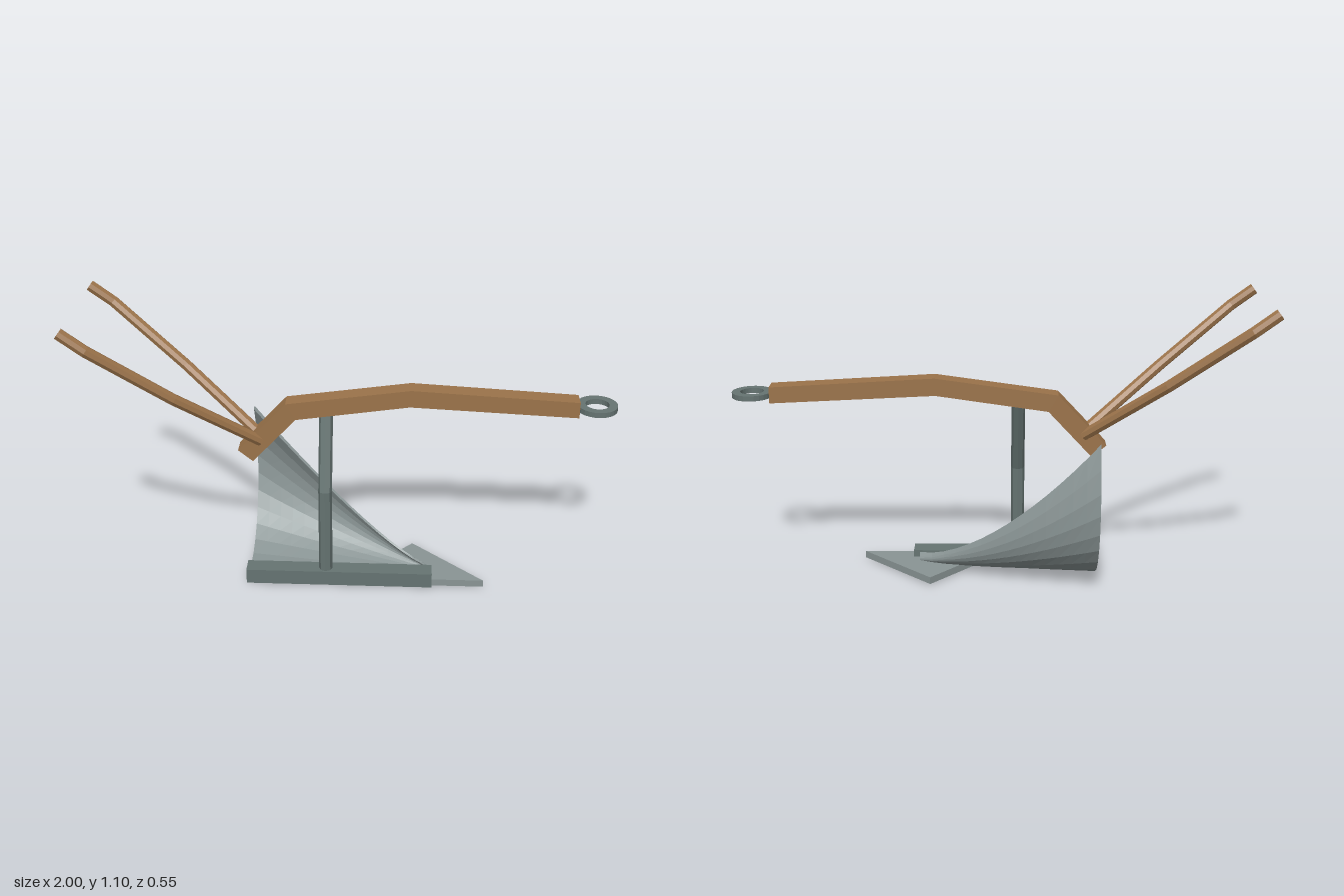
import * as THREE from 'three';

const material = (color) => new THREE.MeshStandardMaterial({ color, flatShading: true, side: THREE.DoubleSide });
const wood = material(0x9b734a);
const iron = material(0x667472);
const blade = material(0x8a9595);
const MID = 0.015; // z of the beam's centre line

function part(name, geometry, mat, parent) {
  const mesh = new THREE.Mesh(geometry, mat);
  mesh.name = name;
  parent.add(mesh);
  return mesh;
}

// Straight-sided path, sampled exactly at its corners
class Polyline extends THREE.Curve {
  constructor(points) {
    super();
    this.points = points;
  }
  getPoint(t, target = new THREE.Vector3()) {
    const n = this.points.length - 1;
    const f = Math.min(Math.max(t, 0), 1) * n;
    const i = Math.min(Math.floor(f), n - 1);
    return target.lerpVectors(this.points[i], this.points[i + 1], f - i);
  }
  getPointAt(t, target) { return this.getPoint(t, target); }
  getTangentAt(t, target) { return this.getTangent(t, target); }
}

// Faceted bar with closed ends
function bar(name, coords, radius, sides, mat, parent) {
  const group = new THREE.Group();
  group.name = name;
  const pts = coords.map((c) => new THREE.Vector3(...c));
  const path = new Polyline(pts);
  part(name + 'Shaft', new THREE.TubeGeometry(path, pts.length - 1, radius, sides), mat, group);
  for (const end of [0, 1]) {
    const cap = part(name + 'End', new THREE.CircleGeometry(radius, sides), mat, group);
    const out = path.getTangentAt(end).multiplyScalar(end ? 1 : -1);
    cap.position.copy(path.getPoint(end));
    cap.quaternion.setFromUnitVectors(new THREE.Vector3(0, 0, 1), out);
  }
  parent.add(group);
}

function extrude(points, depth, hole) {
  const shape = new THREE.Shape(points.map((p) => new THREE.Vector2(...p)));
  if (hole) shape.holes.push(hole);
  return new THREE.ExtrudeGeometry(shape, { depth, bevelEnabled: false });
}

// Curved plate: Bezier sections that grow and curl over from nose to tail
function moldboardGeometry() {
  const rings = 14, steps = 10, n = 2 * (steps + 1);
  const pos = [], index = [];
  for (let i = 0; i <= rings; i++) {
    const t = 1 - i / rings;
    const h = 0.04 + 0.54 * Math.pow(t, 1.5);
    const thick = 0.008 + 0.01 * t;
    const curve = new THREE.CubicBezierCurve(
      new THREE.Vector2(0, 0.02),
      new THREE.Vector2(0.03 + 0.27 * t, 0.02 - 0.02 * t),
      new THREE.Vector2(0.05 + 0.41 * t, 0.02 + 0.52 * h),
      new THREE.Vector2(0.01 + 0.46 * t - 0.185 * t * t, 0.02 + h)
    );
    for (let k = 0; k < n; k++) {
      const inner = k > steps;
      const s = (inner ? n - 1 - k : k) / steps;
      const p = curve.getPoint(s);
      const d = curve.getTangent(s);
      if (inner) p.add(new THREE.Vector2(-d.y, d.x).multiplyScalar(thick));
      pos.push(0.31 - 0.685 * t, p.y, 0.08 - p.x);
    }
  }
  for (let i = 0; i < rings; i++) {
    for (let k = 0; k < n; k++) {
      const a = i * n + k, b = i * n + (k + 1) % n;
      index.push(a, b, a + n, b, b + n, a + n);
    }
  }
  const last = rings * n;
  for (let k = 0; k < steps; k++) {
    const a = k, b = k + 1, c = n - 2 - k, d = n - 1 - k;
    index.push(a, c, b, a, d, c);
    index.push(last + a, last + b, last + c, last + a, last + c, last + d);
  }
  const geometry = new THREE.BufferGeometry();
  geometry.setAttribute('position', new THREE.Float32BufferAttribute(pos, 3));
  geometry.setIndex(index);
  geometry.computeVertexNormals();
  return geometry;
}

export function createModel() {
  const model = new THREE.Group();
  model.name = 'plough';

  // Bent wooden beam
  const beam = part('beam', extrude([
    [-0.355, 0.49], [-0.19, 0.668], [0.235, 0.73], [0.857, 0.7],
    [0.857, 0.762], [0.238, 0.797], [-0.227, 0.732], [-0.41, 0.535],
  ], 0.07), wood, model);
  beam.position.z = MID - 0.035;

  // Flat hitch ring at the beam's front end
  const circle = (r) => new THREE.Path().absarc(0, 0, r, 0, Math.PI * 2).getPoints(12).slice(0, -1);
  const ring = part('hitchRing', extrude(circle(0.075).map((p) => [p.x, p.y]), 0.02,
    new THREE.Path(circle(0.044))), iron, model);
  ring.rotation.x = -Math.PI / 2;
  ring.position.set(0.925, 0.72, MID - 0.005);

  // Pair of splayed handles
  for (const side of [1, -1]) {
    bar(side > 0 ? 'leftHandle' : 'rightHandle', [
      [-0.325, 0.572, MID + side * 0.02],
      [-0.62, 0.8, MID + side * 0.152],
      [-0.9, 1.02, MID + side * 0.238],
      [-0.986, 1.084, MID + side * 0.238],
    ], 0.022, 8, wood, model);
  }

  // Upright joining the beam to the landside
  bar('standard', [[-0.077, 0.04, 0.118], [-0.077, 0.405, 0.118], [-0.077, 0.69, 0.02]], 0.026, 8, iron, model);

  // Sole bar
  const landside = part('landside', new THREE.BoxGeometry(0.72, 0.06, 0.068), iron, model);
  landside.position.set(-0.025, 0.032, 0.115);

  // Flat pointed share
  const share = part('share', extrude([[0.535, -0.14], [0.26, 0.117], [0.02, -0.14]], 0.028), blade, model);
  share.rotation.x = -Math.PI / 2;
  share.position.y = 0.006;

  part('moldboard', moldboardGeometry(), blade, model);
  return model;
}
